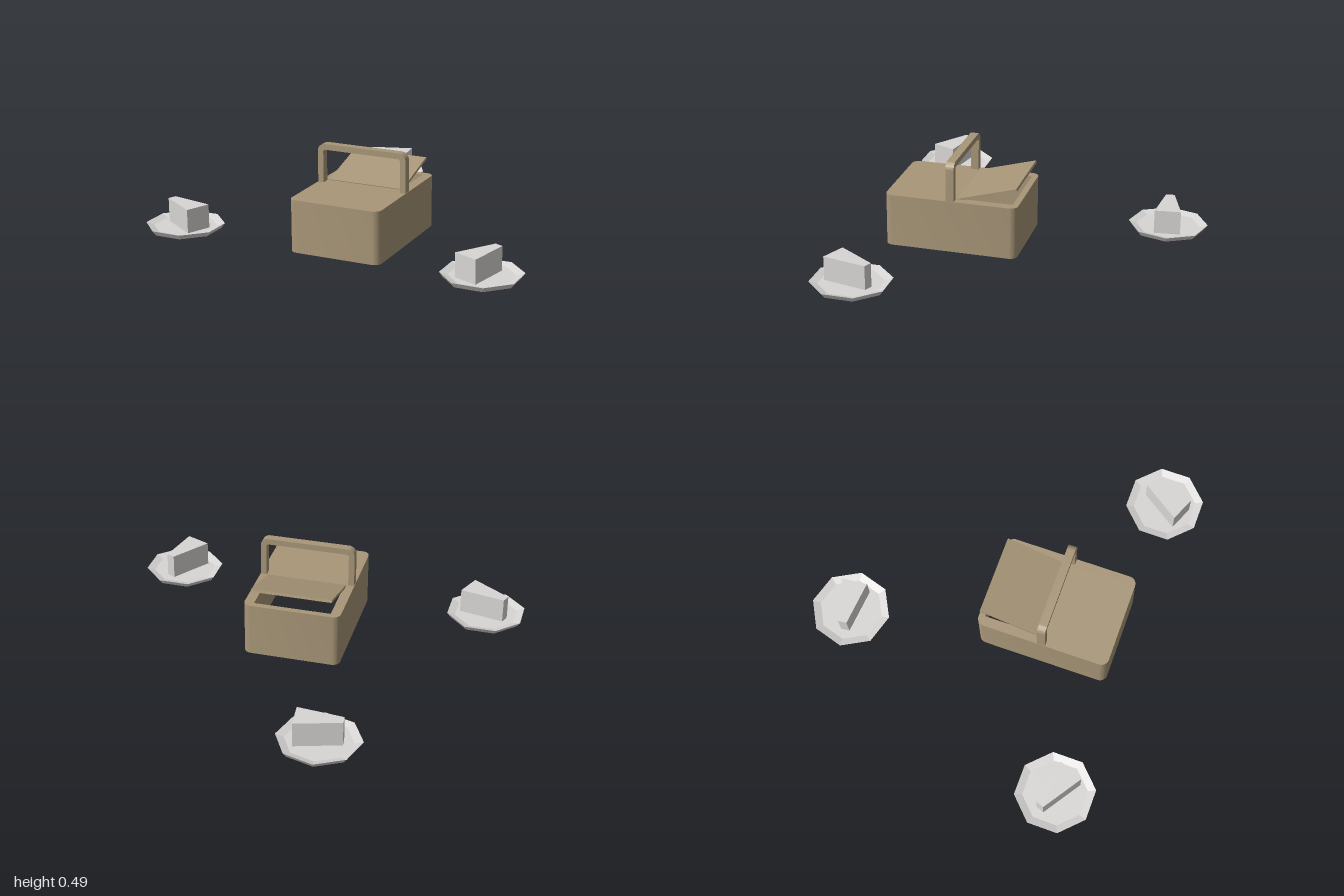
import * as THREE from 'three';
import { toCreasedNormals } from 'three/addons/utils/BufferGeometryUtils.js';

const WIDTH = 0.504, LENGTH = 0.708, HEIGHT = 0.282, WALL = 0.008;

// Rounded rectangle centred on the origin
function roundedRect(w, l, r, Kind = THREE.Shape) {
  const s = new Kind(), x = w / 2, y = l / 2;
  s.moveTo(-x + r, -y);
  s.lineTo(x - r, -y).absarc(x - r, -y + r, r, -Math.PI / 2, 0);
  s.lineTo(x, y - r).absarc(x - r, y - r, r, 0, Math.PI / 2);
  s.lineTo(-x + r, y).absarc(-x + r, y - r, r, Math.PI / 2, Math.PI);
  s.lineTo(-x, -y + r).absarc(-x + r, -y + r, r, Math.PI, Math.PI * 1.5);
  return s;
}

function polygon(points, Kind = THREE.Shape) {
  return new Kind(points.map(([x, y]) => new THREE.Vector2(x, y)));
}

// Extrude with smooth curves and sharp edges
function extrude(shape, depth) {
  const g = new THREE.ExtrudeGeometry(shape, { depth, bevelEnabled: false, curveSegments: 6 });
  return toCreasedNormals(g, 0.6);
}

function addMesh(parent, name, geometry, material) {
  const m = new THREE.Mesh(geometry, material);
  m.name = name;
  parent.add(m);
  return m;
}

function createBasket(material) {
  const basket = new THREE.Group();
  basket.name = 'basket';

  // Side walls, open underneath
  const ring = roundedRect(WIDTH, LENGTH, 0.04);
  ring.holes.push(roundedRect(WIDTH - 2 * WALL, LENGTH - 2 * WALL, 0.032, THREE.Path));
  addMesh(basket, 'walls', extrude(ring, HEIGHT - WALL).rotateX(-Math.PI / 2), material);

  // Top with an opening in its back half
  const top = roundedRect(WIDTH, LENGTH, 0.04);
  top.holes.push(polygon([[-0.2, 0.035], [-0.2, 0.322], [0.2, 0.322], [0.2, 0.035]], THREE.Path));
  addMesh(basket, 'top', extrude(top, WALL).rotateX(-Math.PI / 2), material).position.y = HEIGHT - WALL;

  // Lid, hinged near the middle and propped open towards the back
  const lid = addMesh(basket, 'lid',
    new THREE.BoxGeometry(0.42, 0.014, 0.326).translate(0, 0.007, -0.163), material);
  lid.position.set(0, 0.272, -0.032);
  lid.rotation.x = Math.atan2(0.088, 0.313);

  // Carrying handle across the middle
  const half = WIDTH / 2 - 0.002, t = 0.031, low = HEIGHT - 0.004, high = 0.492;
  const arch = new THREE.Shape();
  arch.moveTo(-half, low);
  arch.lineTo(-half + t, low);
  arch.lineTo(-half + t, high - t - 0.008).lineTo(-half + t + 0.008, high - t);
  arch.lineTo(half - t - 0.008, high - t).lineTo(half - t, high - t - 0.008);
  arch.lineTo(half - t, low).lineTo(half, low);
  arch.lineTo(half, high - 0.04).absarc(half - 0.04, high - 0.04, 0.04, 0, Math.PI / 2);
  arch.lineTo(-half + 0.04, high).absarc(-half + 0.04, high - 0.04, 0.04, Math.PI / 2, Math.PI);
  addMesh(basket, 'handle', extrude(arch, 0.044).translate(0, 0, -0.022), material);

  basket.position.set(-0.08, 0, 0.098);
  basket.rotation.y = THREE.MathUtils.degToRad(23);
  return basket;
}

// Octagonal dished plate holding a blunt wedge of cake
function createServing(material) {
  const serving = new THREE.Group();
  const profile = [[0, 0.022], [0.19, 0.022], [0.21, 0.049], [0.168, 0.036], [0, 0.036]]
    .map(([x, y]) => new THREE.Vector2(x, y));
  const plate = new THREE.LatheGeometry(profile, 8).toNonIndexed();
  plate.computeVertexNormals();
  addMesh(serving, 'plate', plate, material);

  const wedge = polygon([[-0.115, -0.023], [0.118, -0.069], [0.118, 0.069], [-0.115, 0.023]]);
  const cake = new THREE.ExtrudeGeometry(wedge, { depth: 0.144, bevelEnabled: false });
  addMesh(serving, 'cakeSlice', cake.rotateX(-Math.PI / 2), material).position.y = 0.02;
  return serving;
}

export function createModel() {
  const model = new THREE.Group();
  model.name = 'picnicSet';
  const wicker = new THREE.MeshStandardMaterial({ color: 0xa89678 });
  wicker.name = 'wicker brown';
  const china = new THREE.MeshStandardMaterial({ color: 0xd8d6d4 });
  china.name = 'pale grey';

  model.add(createBasket(wicker));

  // Three servings set around the basket: x, z, turn in degrees
  [[-0.79, -0.737, 29], [0.79, 0.1, -90], [-0.79, 0.73, 0]].forEach(([x, z, turn], i) => {
    const s = createServing(china);
    s.name = 'serving' + (i + 1);
    s.position.set(x, 0, z);
    s.rotation.y = THREE.MathUtils.degToRad(turn);
    model.add(s);
  });
  return model;
}
